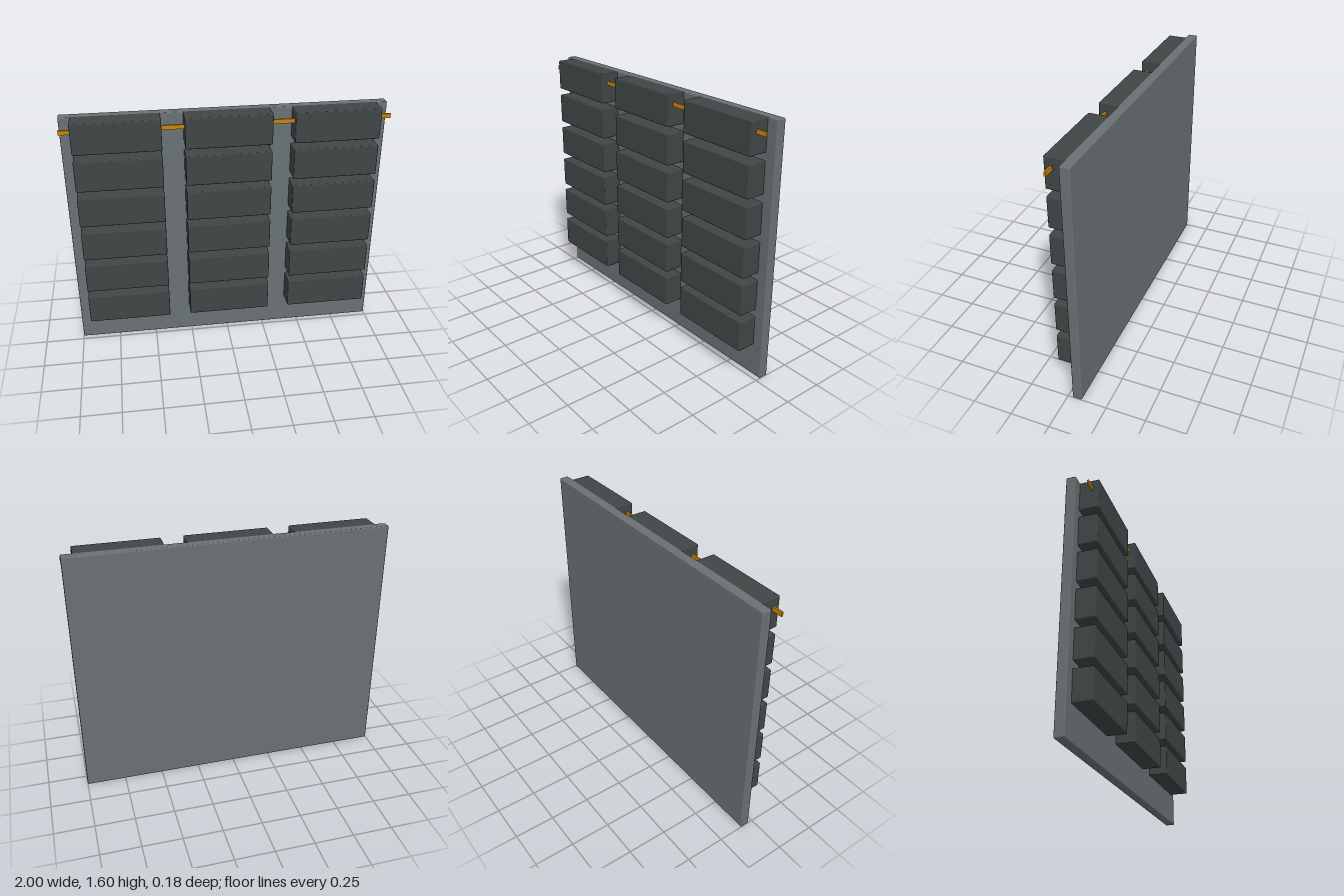
import * as THREE from 'three';
import { RoundedBoxGeometry } from 'three/addons/geometries/RoundedBoxGeometry.js';

const panelGrey = new THREE.MeshStandardMaterial({ name: 'panel grey', color: 0x697173 });
const darkGrey = new THREE.MeshStandardMaterial({ name: 'dark block grey', color: 0x3f4545 });
const amber = new THREE.MeshStandardMaterial({ name: 'amber', color: 0xc8820e });

export function createModel() {
  const group = new THREE.Group();
  group.name = 'blockPanel';

  const add = (name, geometry, material, x, y, z) => {
    const mesh = new THREE.Mesh(geometry, material);
    mesh.name = name;
    mesh.position.set(x, y, z);
    group.add(mesh);
  };

  // Back panel with softened edges
  add('backPanel', new RoundedBoxGeometry(2, 1.6, 0.06, 2, 0.007), panelGrey, 0, 0.8, -0.06);

  // Three columns of six blocks, set slightly into the panel
  const blockGeometry = new RoundedBoxGeometry(0.53, 0.195, 0.13, 2, 0.007);
  for (let column = -1; column <= 1; column++) {
    for (let row = 0; row < 6; row++) {
      add('block', blockGeometry, darkGrey, column * 0.667, 0.3025 + row * 0.24, 0.025);
    }
  }

  // Flat rod through the top row
  add('rod', new THREE.BoxGeometry(2, 0.027, 0.012), amber, 0, 1.538, 0.047);

  return group;
}
